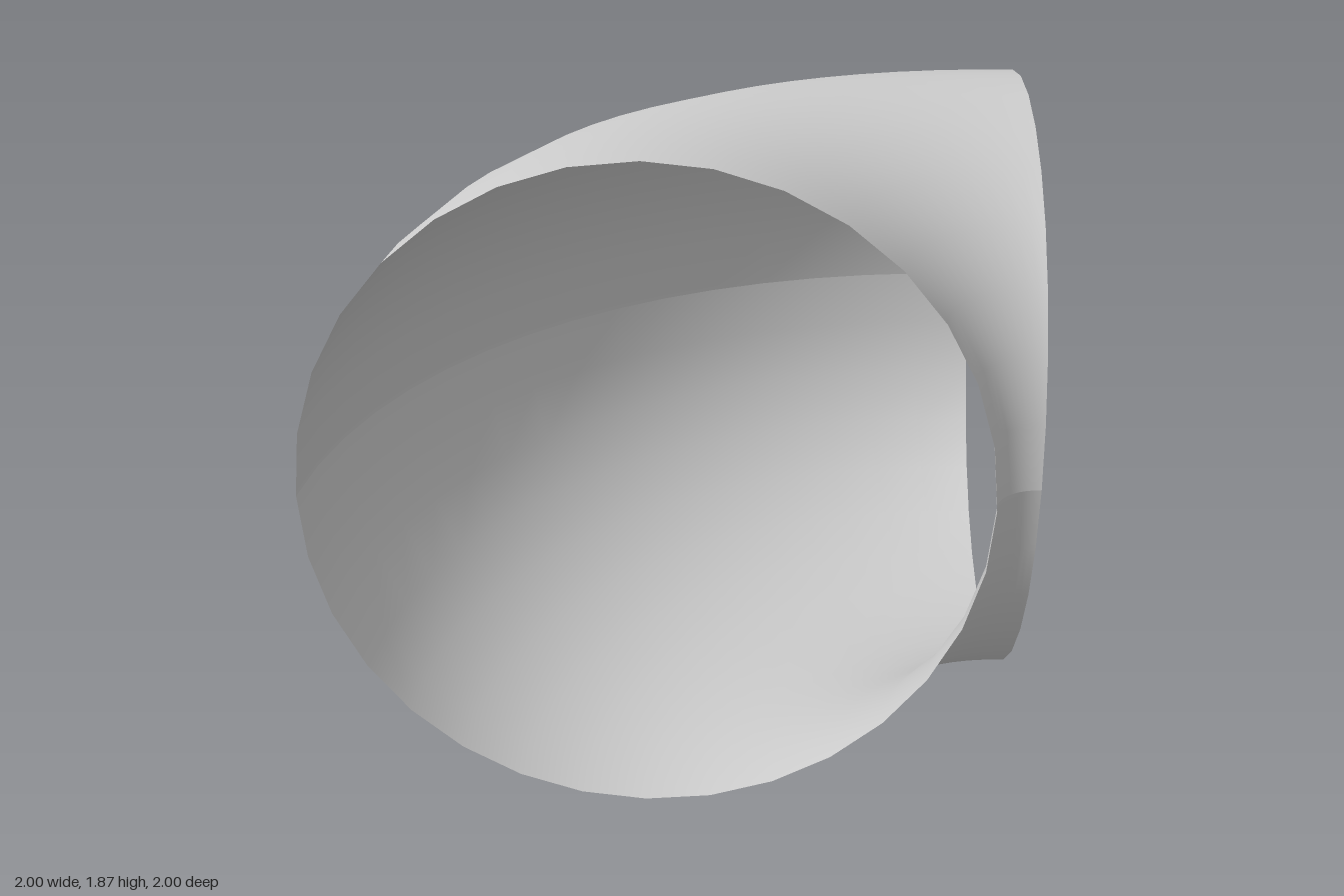
import * as THREE from 'three';

const TUBE = 0.9325;       // pipe radius
const BEND = 2 - TUBE;     // bend radius to the pipe's centre line
const SIDES = 16;          // facets per half pipe
const STEPS = 16;          // segments along the quarter bend

// Half of the pipe wall, swept through a quarter turn about the bend axis
function halfShell(startAngle) {
  const profile = [];
  for (let i = 0; i <= SIDES; i++) {
    const t = startAngle + (Math.PI * i) / SIDES;
    profile.push(new THREE.Vector2(BEND + TUBE * Math.cos(t), TUBE + TUBE * Math.sin(t)));
  }
  return new THREE.LatheGeometry(profile, STEPS, Math.PI, Math.PI / 2);
}

export function createModel() {
  const group = new THREE.Group();
  group.name = 'pipeElbow';
  const material = new THREE.MeshStandardMaterial({ color: 0xcccccc, side: THREE.DoubleSide });

  // Upper and lower shells meet at a seam halfway up
  for (const [name, start] of [['upperShell', 0], ['lowerShell', Math.PI]]) {
    const mesh = new THREE.Mesh(halfShell(start), material);
    mesh.name = name;
    mesh.position.set(1, 0, 1);
    group.add(mesh);
  }
  return group;
}
